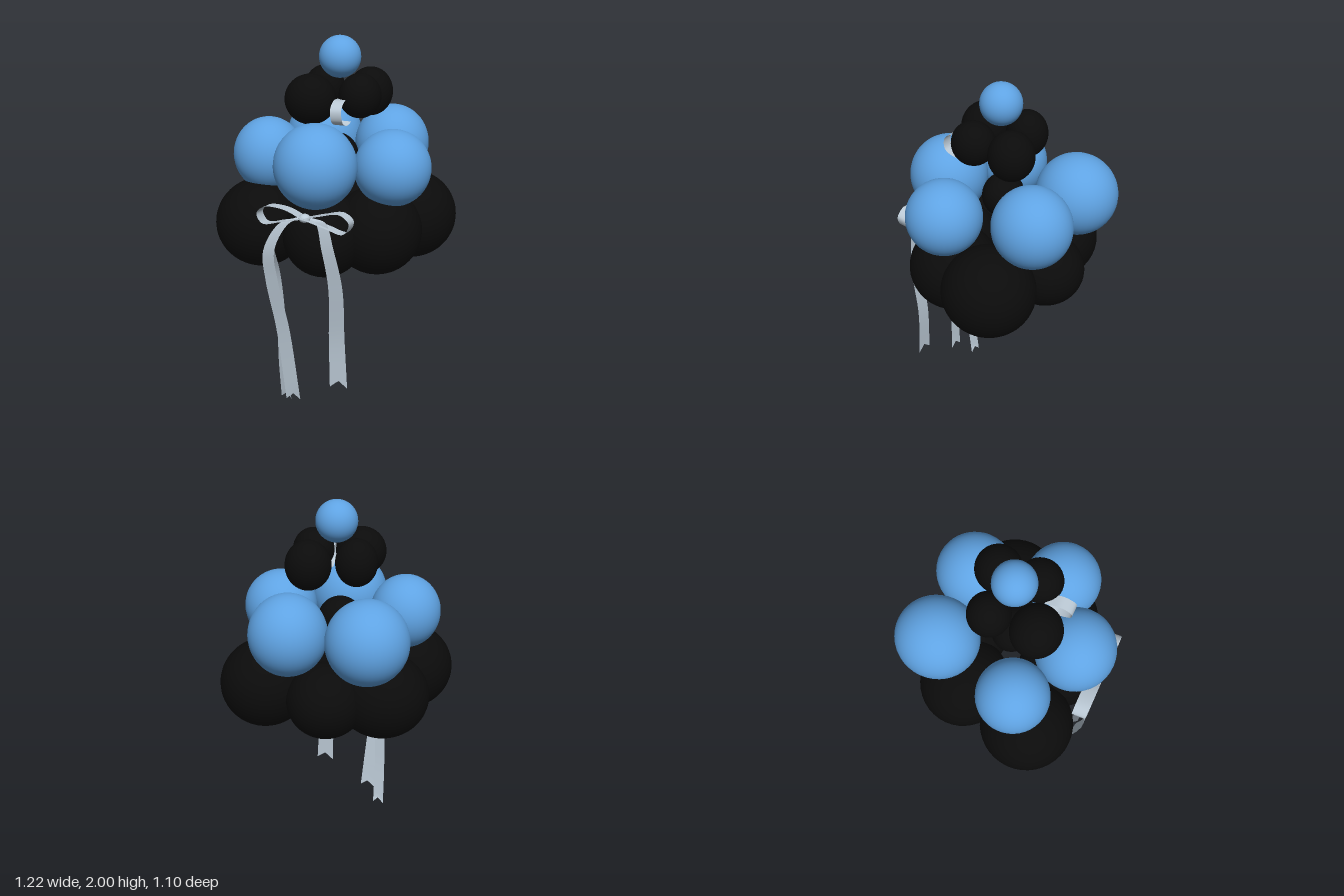
import * as THREE from 'three';

const blue = new THREE.MeshStandardMaterial({ name: 'balloonBlue', color: 0x5fa3e3 });
const black = new THREE.MeshStandardMaterial({ name: 'balloonBlack', color: 0x0b0b0b });
const silver = new THREE.MeshStandardMaterial({ name: 'ribbonSilver', color: 0xbccad6, side: THREE.DoubleSide });

const V = (a) => new THREE.Vector3(...a);

// Balloon: centre followed by its three radii, slightly fuller towards the outside
function balloon(name, material, [x, y, z, rx, ry, rz]) {
  const mesh = new THREE.Mesh(new THREE.SphereGeometry(1, 40, 28), material);
  mesh.name = name;
  mesh.position.set(x, y, z);
  mesh.scale.set(rx, ry, rz);
  return mesh;
}

function layer(name, material, list) {
  const group = new THREE.Group();
  group.name = name;
  list.forEach((b, i) => group.add(balloon(`${name}Balloon${i + 1}`, material, b)));
  return group;
}

// Flat ribbon swept along a curve; the width runs along a fixed direction,
// and a notch cuts a swallowtail into the loose end
function ribbon(name, points, across, w0, w1, notch = 0) {
  const pts = new THREE.CatmullRomCurve3(points.map(V)).getPoints(32);
  const side = V(across).normalize();
  const pos = [], index = [];
  pts.forEach((p, i) => {
    const t = i / (pts.length - 1);
    const half = THREE.MathUtils.lerp(w0, w1, t) / 2;
    for (const s of [-1, 0, 1]) {
      const q = p.clone().addScaledVector(side, s * half);
      if (i === pts.length - 1 && s === 0) q.y += notch;
      pos.push(q.x, q.y, q.z);
    }
    if (i === 0) return;
    for (const c of [0, 1]) {
      const a = (i - 1) * 3 + c, b = a + 3;
      index.push(a, b, a + 1, a + 1, b, b + 1);
    }
  });
  const geo = new THREE.BufferGeometry();
  geo.setAttribute('position', new THREE.Float32BufferAttribute(pos, 3));
  geo.setIndex(index);
  geo.computeVertexNormals();
  const mesh = new THREE.Mesh(geo, silver);
  mesh.name = name;
  return mesh;
}

export function createModel() {
  const model = new THREE.Group();
  model.name = 'balloonTower';

  // Stacked rings of balloons
  model.add(layer('baseRing', black, [
    [-0.36, 1.01, 0.235, 0.25, 0.24, 0.25],
    [0.02, 1.0, 0.27, 0.22, 0.225, 0.23],
    [0.26, 1.01, 0.13, 0.24, 0.235, 0.24],
    [0.36, 1.02, -0.16, 0.245, 0.24, 0.25],
    [0, 1.0, -0.275, 0.21, 0.2, 0.22],
    [-0.28, 1.01, -0.17, 0.25, 0.23, 0.24],
  ]));
  model.add(layer('middleRing', blue, [
    [0, 1.39, 0.34, 0.215, 0.22, 0.21],
    [0.34, 1.36, 0.125, 0.2, 0.2, 0.2],
    [0.19, 1.37, -0.31, 0.205, 0.215, 0.21],
    [-0.225, 1.37, -0.33, 0.215, 0.22, 0.222],
    [-0.35, 1.37, 0.15, 0.19, 0.2, 0.19],
  ]));
  model.add(balloon('coreBalloon', black, [-0.02, 1.36, 0, 0.12, 0.12, 0.11]));
  model.add(layer('upperRing', black, [
    [-0.1, 1.69, 0.16, 0.135, 0.13, 0.13],
    [0.14, 1.71, 0.075, 0.11, 0.115, 0.115],
    [0.12, 1.69, -0.14, 0.12, 0.13, 0.12],
    [-0.12, 1.7, -0.08, 0.11, 0.125, 0.11],
  ]));
  model.add(balloon('topBalloon', blue, [0, 1.89, 0, 0.11, 0.11, 0.11]));

  // Bow with two loops and a knot
  const bow = new THREE.Group();
  bow.name = 'bow';
  bow.add(ribbon('bowLoopRight', [[0, 1.16, 0.48], [-0.1, 1.2, 0.48], [-0.21, 1.2, 0.48],
    [-0.25, 1.16, 0.48], [-0.22, 1.11, 0.48], [-0.12, 1.13, 0.48], [0, 1.16, 0.48]], [0, 0.12, 1], 0.075, 0.075));
  bow.add(ribbon('bowLoopLeft', [[0, 1.16, 0.48], [0.1, 1.19, 0.48], [0.2, 1.21, 0.48],
    [0.25, 1.17, 0.48], [0.22, 1.11, 0.48], [0.12, 1.13, 0.48], [0, 1.16, 0.48]], [0, 0.12, 1], 0.075, 0.075));
  const knot = new THREE.Mesh(new THREE.SphereGeometry(1, 16, 12), silver);
  knot.name = 'bowKnot';
  knot.position.set(0, 1.16, 0.48);
  knot.scale.set(0.03, 0.022, 0.03);
  bow.add(knot);
  model.add(bow);

  // Hanging tails
  const tails = new THREE.Group();
  tails.name = 'ribbonTails';
  tails.add(ribbon('leftTail', [[0.02, 1.16, 0.47], [0.09, 1.15, 0.49], [0.13, 1.02, 0.5],
    [0.165, 0.8, 0.48], [0.16, 0.5, 0.45], [0.17, 0.21, 0.45]], [1, 0.1, 0], 0.045, 0.1, 0.04));
  tails.add(ribbon('rightTail', [[-0.02, 1.16, 0.47], [-0.11, 1.12, 0.49], [-0.19, 0.97, 0.51],
    [-0.19, 0.8, 0.49], [-0.15, 0.5, 0.45], [-0.11, 0.06, 0.42]], [1, 0.15, 0], 0.05, 0.085, 0.035));
  tails.add(ribbon('rightInnerTail', [[-0.2, 0.98, 0.48], [-0.2, 0.8, 0.41], [-0.19, 0.5, 0.38],
    [-0.195, 0.25, 0.36], [-0.195, 0.0, 0.33]], [1, 0, 0.15], 0.05, 0.065, 0.04));
  model.add(tails);

  // Small curl of ribbon tucked under the upper ring
  model.add(ribbon('upperCurl', [[0.07, 1.7, 0.14], [0.08, 1.705, 0.22], [0.085, 1.67, 0.275],
    [0.09, 1.61, 0.27], [0.09, 1.58, 0.2], [0.09, 1.59, 0.15]], [1, 0, 0], 0.06, 0.06));

  return model;
}
